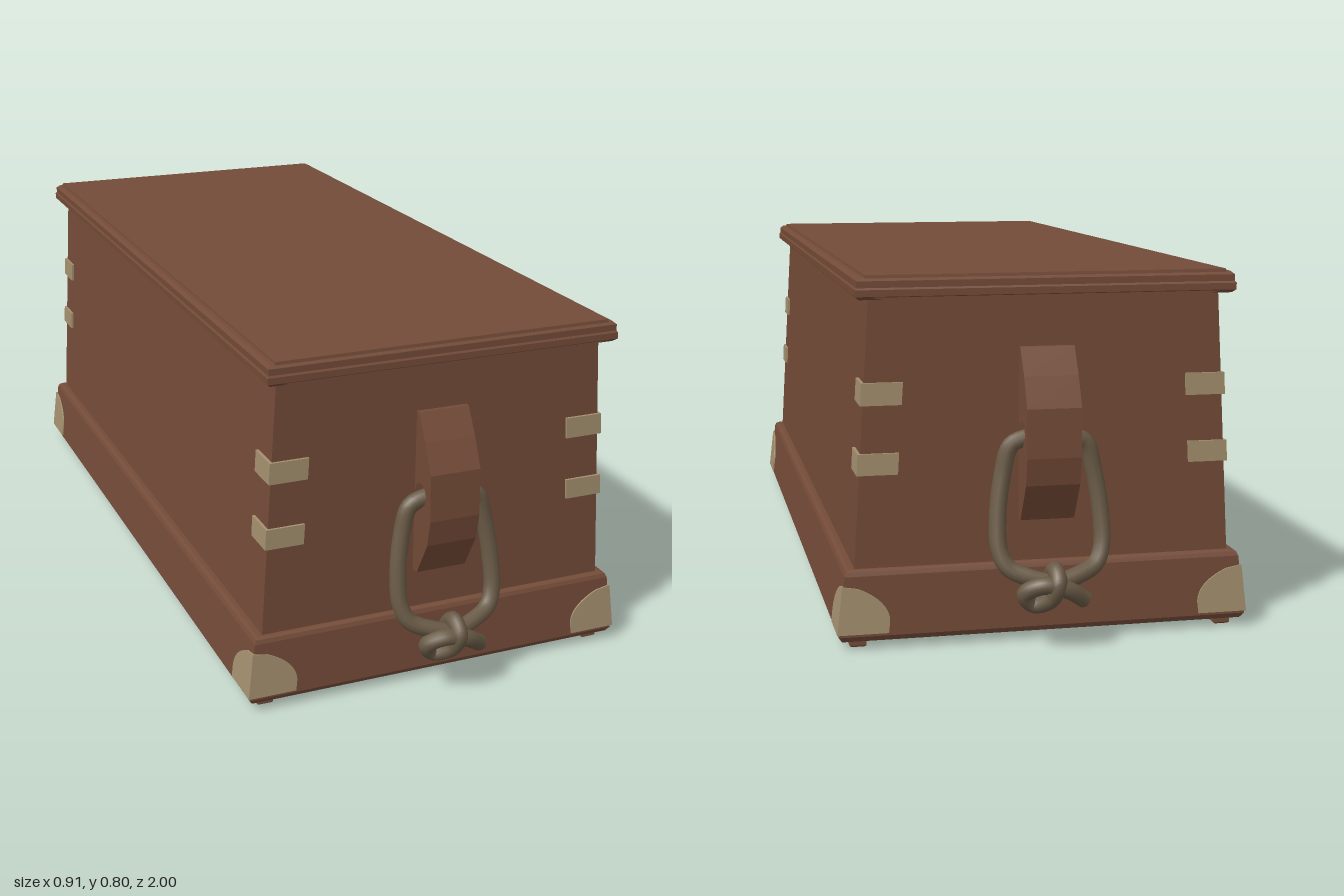
import * as THREE from 'three';

const wood = new THREE.MeshStandardMaterial({ color: 0x744b38 });
wood.name = 'brown wood';
const brass = new THREE.MeshStandardMaterial({ color: 0xa4906f });
brass.name = 'pale brass';
const rope = new THREE.MeshStandardMaterial({ color: 0x695a46 });
rope.name = 'dull rope';

function add(parent, name, geometry, material) {
  const mesh = new THREE.Mesh(geometry, material);
  mesh.name = name;
  parent.add(mesh);
  return mesh;
}

// Closed, flat-faced solid through stacked rectangles [y, half width, half depth]
function loft(sections) {
  const rings = sections.map(([y, w, d]) => [[-w, y, d], [w, y, d], [w, y, -d], [-w, y, -d]]);
  const pos = [];
  const quad = (a, b, c, d) => pos.push(...a, ...b, ...c, ...a, ...c, ...d);
  for (let i = 0; i < rings.length - 1; i++) {
    for (let k = 0; k < 4; k++) {
      const n = (k + 1) % 4;
      quad(rings[i][k], rings[i][n], rings[i + 1][n], rings[i + 1][k]);
    }
  }
  quad(...rings[rings.length - 1]);
  quad(...[...rings[0]].reverse());
  const g = new THREE.BufferGeometry();
  g.setAttribute('position', new THREE.Float32BufferAttribute(pos, 3));
  g.computeVertexNormals();
  return g;
}

// Lean vertices inward as they rise, to follow tapered walls
function lean(g, sx, sz, slopeX, slopeZ, y0) {
  const p = g.attributes.position;
  for (let i = 0; i < p.count; i++) {
    const h = p.getY(i) - y0;
    p.setX(i, p.getX(i) - sx * slopeX * h);
    p.setZ(i, p.getZ(i) - sz * slopeZ * h);
  }
  g.computeVertexNormals();
  return g;
}

const shapeOf = pts => new THREE.Shape(pts.map(([x, y]) => new THREE.Vector2(x, y)));
const extrude = (shape, depth) =>
  new THREE.ExtrudeGeometry(shape, { depth, bevelEnabled: false, curveSegments: 20 });
const vectors = pts => pts.map(p => new THREE.Vector3(...p));

// Strap bent round one corner of the body
function cornerStrap(sx, sz, y0, y1) {
  const X = 0.421 + 0.01, Z = 0.866, t = 0.012, inX = X - 0.088, inZ = 0.782;
  const outline = [[inX, Z], [X, Z], [X, inZ], [X - t, inZ], [X - t, Z - t], [inX, Z - t]];
  const g = extrude(shapeOf(outline.map(([x, z]) => [sx * x, -sz * z])), y1 - y0);
  g.rotateX(-Math.PI / 2).translate(0, y0, 0);
  return lean(g, sx, sz, 0.0603, 0, 0);
}

// Rounded metal plate on one face of a base corner
function cornerPlate(sx, sz, onSide) {
  const s = onSide ? sz : sx, edge = onSide ? 0.886 : 0.456;
  const at = u => s * (edge - u);
  const shape = new THREE.Shape();
  shape.moveTo(at(0), 0.036);
  shape.lineTo(at(0), 0.14);
  shape.lineTo(at(0.035), 0.134);
  shape.bezierCurveTo(at(0.07), 0.12, at(0.108), 0.095, at(0.11), 0.06);
  shape.lineTo(at(0.11), 0.036);
  const g = extrude(shape, 0.008).translate(0, 0, -0.004);
  if (onSide) g.rotateY(-Math.PI / 2).translate(sx * 0.452, 0, 0);
  else g.translate(0, 0, sz * 0.882);
  return lean(g, sx, sz, 0.115, 0.05, 0.03);
}

// Everything on one end of the chest: gable, pierced block, rope handle
function createEnd() {
  const end = new THREE.Group();

  const gable = shapeOf([[-0.388, 0.752], [-0.02, 0.684], [0.02, 0.684], [0.388, 0.752]]);
  add(end, 'lidGable', extrude(gable, 0.03).translate(0, 0, 0.858), wood);

  const profile = shapeOf([[0.855, 0.638], [0.87, 0.638], [0.904, 0.58], [0.934, 0.515],
    [0.938, 0.41], [0.927, 0.35], [0.88, 0.266], [0.855, 0.266]]);
  const hole = new THREE.Path();
  hole.absarc(0.888, 0.455, 0.026, 0, Math.PI * 2, true);
  profile.holes.push(hole);
  const block = extrude(profile, 0.118).translate(0, 0, -0.059).rotateY(-Math.PI / 2);
  add(end, 'handleBlock', block, wood);

  const half = [[0.055, 0.445, 0.886], [0.083, 0.43, 0.884], [0.1, 0.37, 0.885],
    [0.113, 0.28, 0.897], [0.112, 0.21, 0.912], [0.095, 0.175, 0.925], [0.05, 0.155, 0.94]];
  const mirrored = [...half].reverse().map(([x, y, z]) => [-x, y, z]);
  const loop = new THREE.CatmullRomCurve3(
    vectors([[0, 0.45, 0.888], ...half, [0, 0.145, 0.948], ...mirrored]), true);
  add(end, 'ropeLoop', new THREE.TubeGeometry(loop, 96, 0.019, 10, true), rope);

  const knot = new THREE.CatmullRomCurve3(vectors([[0.064, 0.106, 0.955], [0.02, 0.135, 0.973],
    [-0.03, 0.146, 0.972], [-0.065, 0.125, 0.953], [-0.045, 0.099, 0.945], [-0.012, 0.115, 0.968],
    [0, 0.15, 0.979], [0, 0.172, 0.95], [0, 0.14, 0.918], [0, 0.12, 0.935]]));
  add(end, 'ropeKnot', new THREE.TubeGeometry(knot, 80, 0.019, 10), rope);
  const cut = add(end, 'ropeCutEnd', new THREE.CircleGeometry(0.019, 10), rope);
  cut.position.copy(knot.getPoint(0));
  cut.quaternion.setFromUnitVectors(new THREE.Vector3(0, 0, 1), knot.getTangent(0).negate());
  return end;
}

export function createModel() {
  const chest = new THREE.Group();
  chest.name = 'chest';

  // Tapered body, base skirt and runners
  add(chest, 'body', loft([[0.1, 0.419, 0.86], [0.76, 0.379, 0.86]]), wood);
  add(chest, 'baseSkirt', loft([[0.018, 0.444, 0.874], [0.03, 0.452, 0.882],
    [0.16, 0.437, 0.876], [0.169, 0.433, 0.872], [0.173, 0.425, 0.866]]), wood);
  for (const s of [-1, 1]) {
    const runner = loft([[0, 0.014, 0.855], [0.004, 0.018, 0.86], [0.02, 0.018, 0.86]]);
    add(chest, 'runner', runner, wood).position.x = s * 0.408;
  }

  // Lid with moulded rim and raised top panel
  const lid = new THREE.Group();
  lid.name = 'lid';
  const rim = [[0.745, 0.402], [0.752, 0.41], [0.766, 0.41], [0.77, 0.407], [0.784, 0.407], [0.791, 0.399]];
  add(lid, 'lidRim', loft(rim.map(([y, w]) => [y, w, w + 0.48])), wood);
  add(lid, 'lidPanel', loft([[0.785, 0.391, 0.882], [0.796, 0.389, 0.88]]), wood);
  chest.add(lid);

  // Metal fittings on all four corners
  for (const sx of [-1, 1]) {
    for (const sz of [-1, 1]) {
      add(chest, 'upperStrap', cornerStrap(sx, sz, 0.522, 0.57), brass);
      add(chest, 'lowerStrap', cornerStrap(sx, sz, 0.374, 0.42), brass);
      add(chest, 'baseCornerEnd', cornerPlate(sx, sz, false), brass);
      add(chest, 'baseCornerSide', cornerPlate(sx, sz, true), brass);
    }
  }

  // Matching ends, the back one turned half round
  const front = createEnd();
  front.name = 'frontEnd';
  const back = createEnd();
  back.name = 'backEnd';
  back.rotation.y = Math.PI;
  chest.add(front, back);
  return chest;
}
